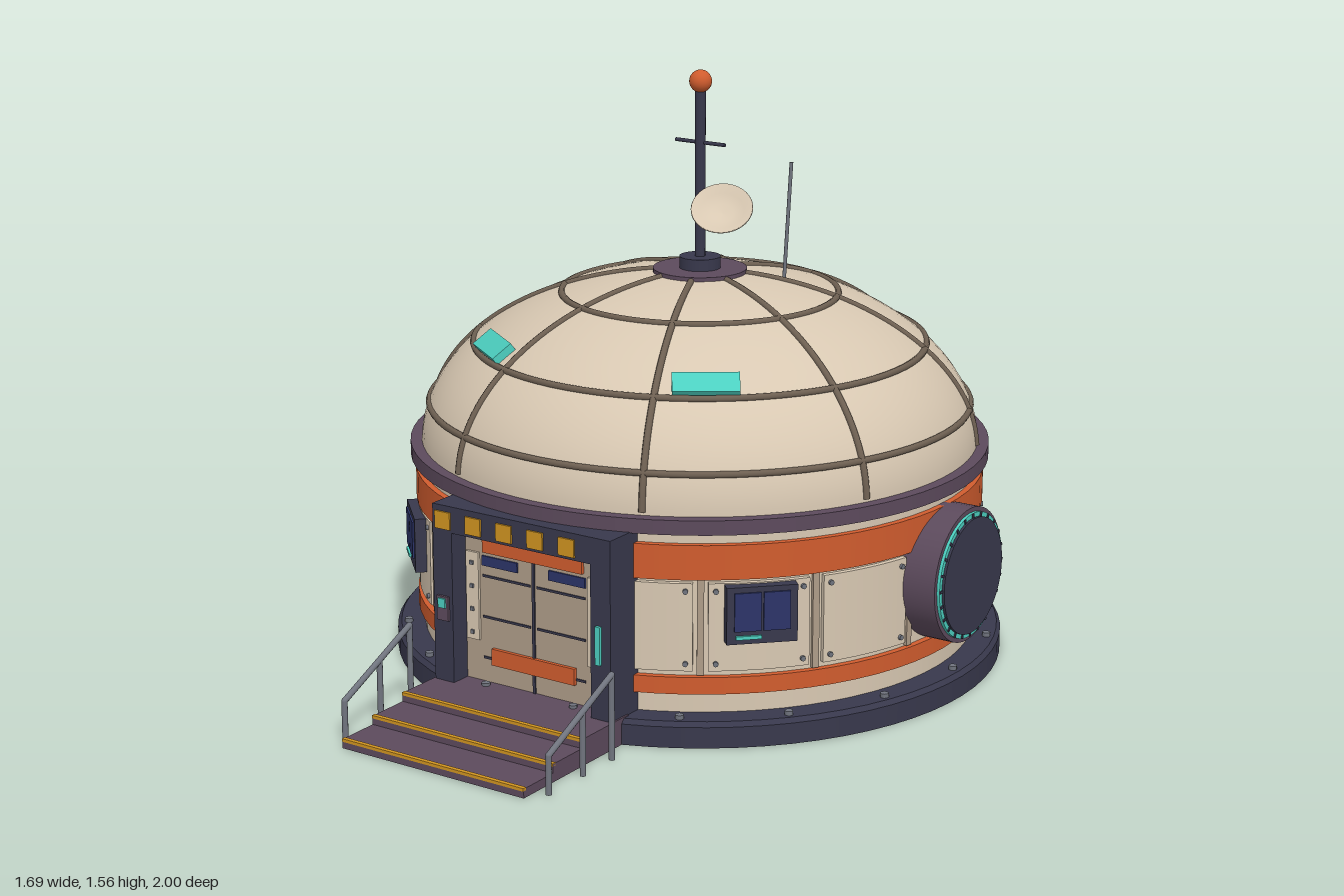
import * as THREE from 'three';

const paint = (name, color) => new THREE.MeshStandardMaterial({ name, color });
const M = {
  cream: paint('cream', 0xd8c8b2), rib: paint('ribBrown', 0x6e6052), door: paint('doorTan', 0xae9c88),
  orange: paint('orange', 0xd05c2e), dark: paint('darkSlate', 0x38384c), purple: paint('purple', 0x5c4a5c),
  navy: paint('navy', 0x2c3468), teal: paint('teal', 0x4ccfc0), yellow: paint('yellow', 0xd09420),
  gray: paint('gray', 0x70747e),
};
const DEG = Math.PI / 180;
const V = (x, y, z) => new THREE.Vector3(x, y, z);

function add(parent, name, geo, mat, x = 0, y = 0, z = 0) {
  const m = new THREE.Mesh(geo, mat);
  m.name = name;
  m.position.set(x, y, z);
  parent.add(m);
  return m;
}
const box = (p, name, mat, w, h, d, x, y, z) => add(p, name, new THREE.BoxGeometry(w, h, d), mat, x, y, z);
const disc = (p, name, mat, r, y0, y1, seg = 72, r2 = r) =>
  add(p, name, new THREE.CylinderGeometry(r2, r, y1 - y0, seg), mat, 0, (y0 + y1) / 2, 0);

// Straight round bar between two points
function bar(p, name, mat, a, b, r) {
  const m = add(p, name, new THREE.CylinderGeometry(r, r, a.distanceTo(b), 10), mat);
  m.position.copy(a).lerp(b, 0.5);
  m.quaternion.setFromUnitVectors(V(0, 1, 0), b.clone().sub(a).normalize());
  return m;
}
// Group turned about the building's axis so that its +z points outwards
function polar(p, name, angle) {
  const g = new THREE.Group();
  g.name = name;
  g.rotation.y = angle * DEG;
  p.add(g);
  return g;
}

// Dome ellipse
const A = 0.745, H = 0.46, Y0 = 0.57;
const domeY = r => Y0 + H * Math.sqrt(1 - (r / A) ** 2);
const domeR = y => A * Math.sqrt(1 - ((y - Y0) / H) ** 2);

// Group standing on the dome, its +y along the surface normal
function onDome(p, name, angle, r) {
  const g = new THREE.Group();
  g.position.set(0, domeY(r), r);
  g.rotation.x = Math.atan2(r / A ** 2, (domeY(r) - Y0) / H ** 2);
  polar(p, name, angle).add(g);
  return g;
}

function buildWalls(hut) {
  disc(hut, 'base', M.dark, 0.82, 0, 0.055);
  disc(hut, 'baseBevel', M.dark, 0.82, 0.055, 0.067, 72, 0.81);
  for (let i = 0; i < 18; i++)
    add(polar(hut, 'baseBolt', 10 + i * 20), 'bolt', new THREE.CylinderGeometry(0.011, 0.011, 0.012, 8), M.gray, 0, 0.072, 0.79);
  disc(hut, 'wall', M.cream, 0.745, 0.06, 0.56);
  disc(hut, 'lowerBand', M.orange, 0.762, 0.12, 0.165);
  disc(hut, 'upperBand', M.orange, 0.762, 0.42, 0.51);
  disc(hut, 'rim', M.purple, 0.775, 0.54, 0.578);

  // Bolted wall panels, leaving out the door and the side ports
  const half = 9.8 * DEG, arc = new THREE.Shape();
  arc.absarc(0, 0, 0.758, -Math.PI / 2 - half, -Math.PI / 2 + half, false);
  arc.absarc(0, 0, 0.735, -Math.PI / 2 + half, -Math.PI / 2 - half, true);
  const panelGeo = new THREE.ExtrudeGeometry(arc, { depth: 0.23, bevelEnabled: false, curveSegments: 8 });
  panelGeo.rotateX(-Math.PI / 2);
  const boltGeo = new THREE.CylinderGeometry(0.007, 0.007, 0.01, 8).rotateX(Math.PI / 2);
  for (let i = 0; i < 16; i++) {
    if (i !== 0) box(polar(hut, 'seam', i * 22.5 - 11.25), 'seamStrip', M.door, 0.018, 0.25, 0.02, 0, 0.293, 0.745);
    if (i % 4 === 0 && i !== 8) continue;
    const g = polar(hut, 'wallPanel', i * 22.5);
    add(g, 'panel', panelGeo, M.cream, 0, 0.18, 0);
    for (const s of [-1, 1]) for (const y of [0.2, 0.39]) {
      const b = polar(g, 'panelBolt', s * 8.4);
      add(b, 'bolt', boltGeo, M.gray, 0, y, 0.76);
    }
  }

  // Windows either side of the door
  for (const s of [-1, 1]) {
    const g = polar(hut, 'window', s * 45);
    box(g, 'windowFrame', M.dark, 0.18, 0.148, 0.05, 0, 0.333, 0.758);
    for (const k of [-1, 1]) box(g, 'windowPane', M.navy, 0.068, 0.1, 0.006, k * 0.037, 0.343, 0.785);
    box(g, 'windowLight', M.teal, 0.065, 0.009, 0.008, -0.035, 0.277, 0.786);
  }

  // Round side ports
  for (const s of [-1, 1]) {
    const g = polar(hut, 'sidePort', s * 90);
    const ring = (name, mat, r, z0, z1) => add(g, name,
      new THREE.CylinderGeometry(r, r, z1 - z0, 48).rotateX(Math.PI / 2), mat, 0, 0.333, (z0 + z1) / 2);
    ring('portHousing', M.purple, 0.178, 0.68, 0.828);
    ring('portGlowRing', M.teal, 0.166, 0.828, 0.836);
    ring('portHatch', M.dark, 0.154, 0.836, 0.843);
    for (let i = 0; i < 24; i++) {
      const a = i * 15 * DEG;
      const t = box(g, 'portTooth', M.dark, 0.012, 0.007, 0.004, 0.16 * Math.cos(a), 0.333 + 0.16 * Math.sin(a), 0.837);
      t.rotation.z = a;
    }
  }
}

function buildDome(hut) {
  const profile = [];
  for (let i = 0; i <= 32; i++) {
    const t = i / 32 * Math.PI / 2;
    profile.push(new THREE.Vector2(Math.max(0, A * Math.cos(t)), Y0 + H * Math.sin(t)));
  }
  add(hut, 'dome', new THREE.LatheGeometry(profile, 80), M.cream);

  for (const y of [0.68, 0.84, 0.97])
    add(hut, 'domeRing', new THREE.TorusGeometry(domeR(y), 0.009, 8, 80).rotateX(Math.PI / 2), M.rib, 0, y, 0);
  const path = [];
  for (let i = 0; i <= 14; i++) {
    const t = (2 + i * 5.7) * DEG;
    path.push(V(0, Y0 + H * Math.sin(t), A * Math.cos(t)));
  }
  const ribGeo = new THREE.TubeGeometry(new THREE.CatmullRomCurve3(path), 32, 0.009, 8);
  for (let i = 0; i < 8; i++) add(polar(hut, 'domeRib', 22.5 + i * 45), 'rib', ribGeo, M.rib);

  for (const s of [-1, 1])
    box(onDome(hut, 'skylight', s * 35, 0.572), 'skylightGlass', M.teal, 0.17, 0.026, 0.062, 0, 0.004, 0);
  for (const a of [185, 240]) {
    const g = onDome(hut, 'roofVent', a, 0.65);
    box(g, 'ventBox', M.purple, 0.105, 0.05, 0.1, 0, 0.015, 0);
    add(g, 'ventCap', new THREE.CylinderGeometry(0.036, 0.036, 0.03, 20), M.dark, 0, 0.05, 0);
  }
}

function buildMast(hut) {
  disc(hut, 'roofCap', M.purple, 0.125, 1.0, 1.034, 40);
  disc(hut, 'mastFoot', M.dark, 0.055, 1.034, 1.065, 28);
  disc(hut, 'mast', M.dark, 0.014, 1.06, 1.51, 14);
  add(hut, 'beacon', new THREE.SphereGeometry(0.03, 24, 16), M.orange, 0, 1.532, 0);
  bar(hut, 'mastCrossbar', M.dark, V(-0.077, 1.37, 0), V(0.077, 1.37, 0), 0.005);
  bar(hut, 'whipAntenna', M.gray, V(0.197, 1.0, -0.105), V(0.207, 1.32, -0.12), 0.005);
  bar(hut, 'dishArm', M.dark, V(0, 1.16, 0), V(0.072, 1.185, 0.007), 0.007);
  const bowl = [[0, -0.02], [0.03, -0.017], [0.06, -0.007], [0.082, 0.008], [0.08, 0.012], [0.058, -0.002], [0.03, -0.011], [0, -0.014]];
  const dish = add(hut, 'dish', new THREE.LatheGeometry(bowl.map(p => new THREE.Vector2(...p)), 36), M.cream, 0.08, 1.2, 0.017);
  dish.quaternion.setFromUnitVectors(V(0, 1, 0), V(0.3, 0.76, 0.57).normalize());
}

function buildEntrance(root) {
  const g = new THREE.Group();
  g.name = 'entrance';
  root.add(g);

  // Frame with striped header
  for (const s of [-1, 1]) box(g, 'doorPost', M.dark, 0.06, 0.48, 0.13, s * 0.245, 0.3, 0.565);
  box(g, 'doorHeader', M.dark, 0.55, 0.07, 0.13, 0, 0.507, 0.565);
  for (let i = 0; i < 5; i++) box(g, 'hazardStripe', M.yellow, 0.048, 0.046, 0.006, -0.241 + i * 0.0965, 0.503, 0.632);
  box(g, 'doorLight', M.teal, 0.015, 0.1, 0.009, 0.241, 0.266, 0.634);
  box(g, 'keypad', M.purple, 0.036, 0.065, 0.008, -0.243, 0.268, 0.633);
  box(g, 'keypadScreen', M.teal, 0.022, 0.025, 0.006, -0.243, 0.283, 0.639);

  // Double door
  for (const s of [-1, 1]) {
    box(g, 'doorLeaf', M.door, 0.212, 0.4, 0.07, s * 0.109, 0.27, 0.538);
    box(g, 'doorWindow', M.navy, 0.112, 0.026, 0.006, s * 0.105, 0.396, 0.575);
    for (const y of [0.135, 0.245, 0.355]) box(g, 'doorGroove', M.dark, 0.15, 0.006, 0.004, s * 0.085, y, 0.574);
    box(g, 'doorJamb', M.cream, 0.04, 0.235, 0.012, s * 0.19, 0.297, 0.574);
    for (let i = 0; i < 4; i++) box(g, 'jambBolt', M.gray, 0.01, 0.01, 0.006, s * 0.19, 0.2 + i * 0.062, 0.582);
  }
  box(g, 'doorSplit', M.dark, 0.008, 0.4, 0.006, 0, 0.27, 0.574);
  box(g, 'doorBandLow', M.orange, 0.26, 0.044, 0.014, 0, 0.143, 0.576);
  box(g, 'doorBandHigh', M.orange, 0.31, 0.04, 0.014, 0, 0.44, 0.576);

  // Steps with bright nosings
  [[0.56, 0.76, 0.07], [0.76, 0.88, 0.047], [0.88, 0.998, 0.024]].forEach(([z0, z1, h]) => {
    box(g, 'step', M.purple, 0.56, h, z1 - z0, 0, h / 2, (z0 + z1) / 2);
    box(g, 'stepNosing', M.yellow, 0.56, 0.008, 0.012, 0, h - 0.002, z1 - 0.004);
  });

  // Handrails
  for (const s of [-1, 1]) {
    const x = s * 0.315;
    bar(g, 'handrail', M.gray, V(x, 0.222, 0.683), V(x, 0.1, 0.945), 0.008);
    for (const [z, y] of [[0.683, 0.222], [0.805, 0.165], [0.945, 0.1]]) {
      bar(g, 'railPost', M.gray, V(x, 0, z), V(x, y, z), 0.008);
      add(g, 'railJoint', new THREE.SphereGeometry(0.008, 10, 8), M.gray, x, y, z);
    }
  }
}

export function createModel() {
  const root = new THREE.Group();
  root.name = 'domeHabitat';
  const hut = new THREE.Group();
  hut.name = 'hut';
  hut.position.z = -0.18;
  root.add(hut);
  buildWalls(hut);
  buildDome(hut);
  buildMast(hut);
  buildEntrance(root);
  return root;
}
